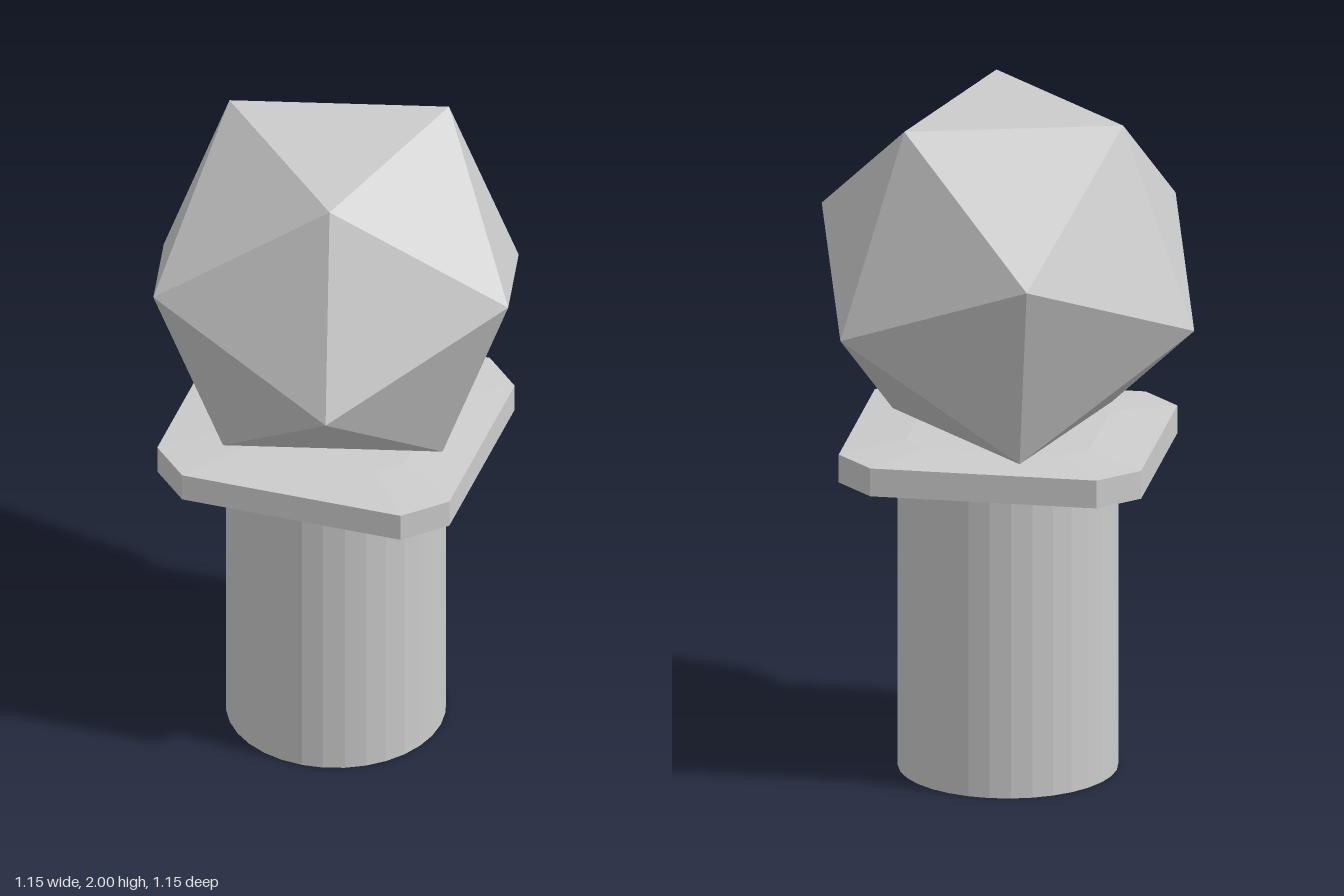
import * as THREE from 'three';
import { ConvexGeometry } from 'three/addons/geometries/ConvexGeometry.js';

const stone = new THREE.MeshStandardMaterial({ color: 0xcccccc, flatShading: true });
stone.name = 'grey stone';

function addPart(group, name, geometry, y = 0) {
  const mesh = new THREE.Mesh(geometry, stone);
  mesh.name = name;
  mesh.position.y = y;
  group.add(mesh);
}

// Rectangle with cut corners, as a ring of eight points at height y
function cutCornerRing(halfX, halfZ, cut, y) {
  const points = [];
  for (const sx of [-1, 1]) for (const sz of [-1, 1]) {
    points.push(new THREE.Vector3(sx * halfX, y, sz * (halfZ - cut)));
    points.push(new THREE.Vector3(sx * (halfX - cut), y, sz * halfZ));
  }
  return points;
}

// Three points evenly spaced around the vertical axis
function triangleRing(radius, y, startDegrees) {
  return [0, 120, 240].map((step) => {
    const a = THREE.MathUtils.degToRad(startDegrees + step);
    return new THREE.Vector3(radius * Math.cos(a), y, radius * Math.sin(a));
  });
}

export function createModel() {
  const group = new THREE.Group();
  group.name = 'bollard';

  // Round post
  addPart(group, 'post', new THREE.CylinderGeometry(0.32, 0.32, 0.93, 32), 0.465);

  // Collar plate with shallow slopes above and below
  addPart(group, 'collar', new ConvexGeometry([
    ...cutCornerRing(0.33, 0.325, 0.09, 0.918),
    ...cutCornerRing(0.445, 0.42, 0.112, 0.935),
    ...cutCornerRing(0.445, 0.42, 0.112, 1.02),
    ...cutCornerRing(0.27, 0.25, 0.07, 1.034),
  ]));

  // Twenty-sided finial resting on one face
  addPart(group, 'finial', new ConvexGeometry([
    ...triangleRing(0.368, 0.482, 75),
    ...triangleRing(0.595, 0.114, 15),
    ...triangleRing(0.595, -0.114, 75),
    ...triangleRing(0.368, -0.482, 15),
  ]), 1.518);

  return group;
}
